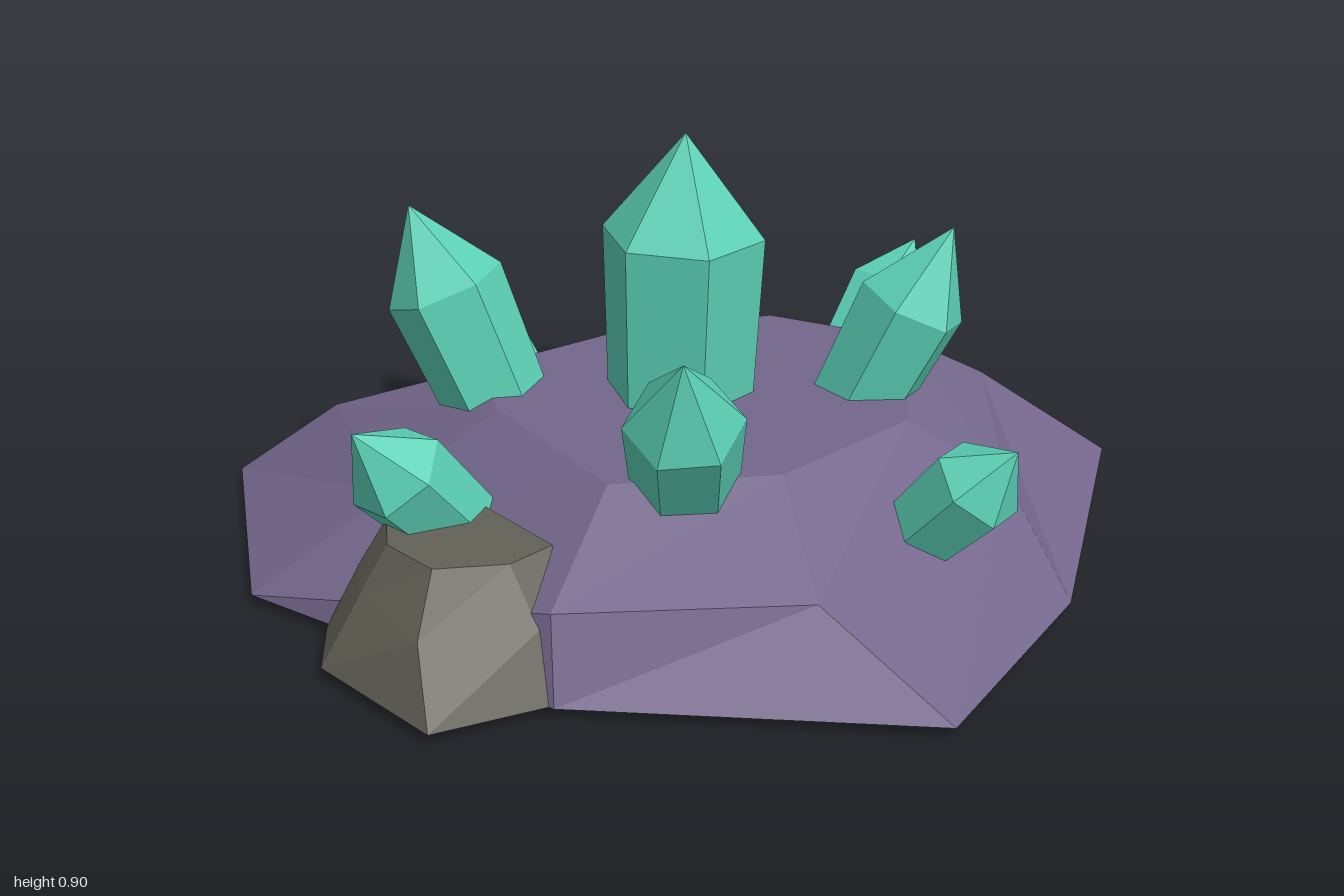
import * as THREE from 'three';

const material = (name, color) => {
  const m = new THREE.MeshStandardMaterial({ color, flatShading: true });
  m.name = name;
  return m;
};

// Closed faceted rock from stacked rings of [x, z] corners, each at one height.
function rockGeometry(levels) {
  const rings = levels.map(({ y, points }) => points.map(([x, z]) => new THREE.Vector3(x, y, z)));
  const n = rings[0].length;
  const tris = [];
  for (let r = 0; r < rings.length - 1; r++) {
    for (let i = 0; i < n; i++) {
      const j = (i + 1) % n;
      const a = rings[r], b = rings[r + 1];
      tris.push(a[i], b[i], a[j], a[j], b[i], b[j]);
    }
  }
  const centre = ring => ring.reduce((s, p) => s.add(p), new THREE.Vector3()).divideScalar(n);
  const bottom = rings[0], top = rings[rings.length - 1];
  const cb = centre(bottom), ct = centre(top);
  for (let i = 0; i < n; i++) {
    const j = (i + 1) % n;
    tris.push(cb, bottom[i], bottom[j], ct, top[j], top[i]);
  }
  const g = new THREE.BufferGeometry().setFromPoints(tris);
  g.computeVertexNormals();
  return g;
}

// Six-sided crystal: a flared shaft and a pointed tip, along the line from where it leaves the rock.
function crystal(surface, tip, radius, mat, { shoulder = 0.73, flare = 0.78, turn = 0 } = {}) {
  const t = new THREE.Vector3(...tip);
  const dir = new THREE.Vector3(...surface).sub(t);
  const base = t.clone().addScaledVector(dir, (t.y - 0.05) / -dir.y);
  const length = t.distanceTo(base);
  const shaftLength = length * shoulder, tipLength = length - shaftLength;

  const group = new THREE.Group();
  const shaft = new THREE.Mesh(
    new THREE.CylinderGeometry(radius, radius * flare, shaftLength, 6).translate(0, shaftLength / 2, 0), mat);
  shaft.name = 'crystalShaft';
  const point = new THREE.Mesh(
    new THREE.ConeGeometry(radius, tipLength, 6, 1, true).translate(0, shaftLength + tipLength / 2, 0), mat);
  point.name = 'crystalTip';
  group.add(shaft, point);
  group.position.copy(base);
  group.quaternion.setFromUnitVectors(new THREE.Vector3(0, 1, 0), t.sub(base).normalize());
  group.rotateY(turn);
  return group;
}

export function createModel() {
  const model = new THREE.Group();
  model.name = 'crystalCluster';
  const purple = material('purple stone', 0x74678c);
  const grey = material('grey stone', 0x636258);
  const teal = material('teal crystal', 0x5bd0b5);

  // Wide mound with a flat top
  const mound = new THREE.Mesh(rockGeometry([
    { y: 0.01, points: [[1, 0.04], [0.52, 0.64], [0.07, 0.95], [-0.58, 0.59], [-1, -0.07], [-0.89, -0.68], [-0.09, -0.95], [0.54, -0.51]] },
    { y: 0.175, points: [[0.77, -0.15], [0.52, 0.37], [-0.09, 0.7], [-0.56, 0.53], [-0.69, -0.09], [-0.68, -0.58], [-0.05, -0.63], [0.47, -0.53]] },
    { y: 0.32, points: [[0.53, -0.09], [0.31, 0.31], [-0.04, 0.44], [-0.37, 0.34], [-0.45, -0.09], [-0.42, -0.32], [-0.05, -0.4], [0.31, -0.35]] },
  ]), purple);
  mound.name = 'mound';
  model.add(mound);

  // Smaller boulder leaning on the mound
  const boulder = new THREE.Mesh(rockGeometry([
    { y: 0.01, points: [[-0.49, 0.41], [-0.57, 0.58], [-0.82, 0.58], [-0.94, 0.27], [-0.89, 0.12], [-0.72, 0.02], [-0.55, 0.12]] },
    { y: 0.14, points: [[-0.49, 0.43], [-0.58, 0.52], [-0.8, 0.47], [-0.85, 0.25], [-0.82, 0.13], [-0.72, 0.04], [-0.54, 0.14]] },
    { y: 0.235, points: [[-0.5, 0.38], [-0.6, 0.42], [-0.74, 0.38], [-0.79, 0.25], [-0.76, 0.14], [-0.7, 0.08], [-0.57, 0.16]] },
  ]), grey);
  boulder.name = 'boulder';
  model.add(boulder);

  // Crystals: name, point on the rock, tip, radius, options
  const crystals = [
    ['centreCrystal', [-0.05, 0.32, -0.05], [-0.04, 0.89, -0.035], 0.175, { shoulder: 0.74, flare: 0.86, turn: -0.1 }],
    ['backRightSideCrystal', [-0.42, 0.32, -0.25], [-0.55, 0.71, -0.34], 0.13, { turn: 0.3 }],
    ['rearCrystal', [-0.29, 0.22, -0.6], [-0.36, 0.39, -0.81], 0.1, { turn: 0.2 }],
    ['backCrystal', [0.06, 0.28, -0.46], [0.13, 0.63, -0.62], 0.115, { turn: 0.5 }],
    ['leftSideCrystal', [0.33, 0.32, 0.1], [0.48, 0.68, 0.18], 0.12, { turn: 0.2 }],
    ['outerLeftCrystal', [0.53, 0.24, -0.3], [0.715, 0.44, -0.39], 0.1, { turn: 0.4 }],
    ['frontCrystal', [0.25, 0.17, 0.5], [0.355, 0.39, 0.665], 0.1],
    ['frontRightSideCrystal', [-0.21, 0.29, 0.35], [-0.285, 0.625, 0.52], 0.12, { turn: 0.2 }],
    ['boulderCrystal', [-0.66, 0.24, 0.14], [-0.83, 0.45, 0.19], 0.105, { turn: 0.4 }],
  ];
  for (const [name, surface, tip, radius, options] of crystals) {
    const c = crystal(surface, tip, radius, teal, options);
    c.name = name;
    model.add(c);
  }
  return model;
}
